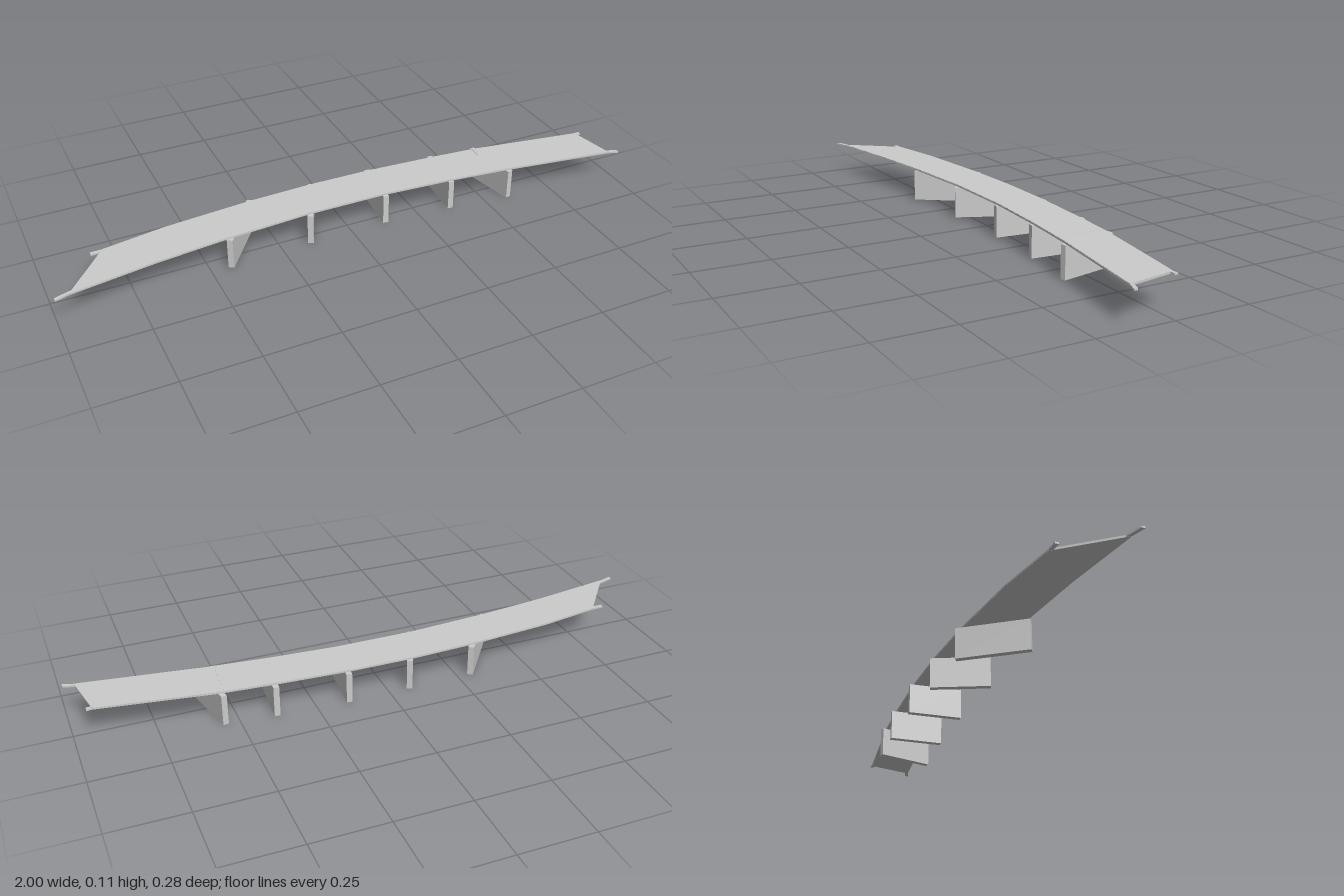
import * as THREE from 'three';

const DECK_BOTTOM = 0.105;
const DECK_TOP = 0.112;

// Deck edges as [x, z], running from the right end to the left end of the bridge
const backEdge = [[-0.81, -0.055], [-0.6, -0.09], [-0.3, -0.117], [-0.08, -0.126],
  [0.14, -0.124], [0.38, -0.11], [0.55, -0.096], [0.935, -0.037]];
const frontEdge = [[-0.955, 0.122], [-0.68, 0.079], [-0.435, 0.051], [-0.15, 0.031],
  [0.125, 0.031], [0.365, 0.047], [0.58, 0.069], [0.965, 0.124]];

const material = new THREE.MeshStandardMaterial({ color: 0xcccccc, flatShading: true });

// Upright slab with a plan outline of [x, z] points
function slab(name, outline, y0, y1) {
  const shape = new THREE.Shape(outline.map(([x, z]) => new THREE.Vector2(x, -z)));
  const geometry = new THREE.ExtrudeGeometry(shape, { depth: y1 - y0, bevelEnabled: false });
  geometry.rotateX(-Math.PI / 2).translate(0, y0, 0);
  const mesh = new THREE.Mesh(geometry, material);
  mesh.name = name;
  return mesh;
}

// Narrow edge beam following a line of [x, z] points
function beam(name, line, halfWidth) {
  const near = line.map(([x, z]) => [x, z + halfWidth]);
  const far = line.map(([x, z]) => [x, z - halfWidth]).reverse();
  return slab(name, [...near, ...far], DECK_BOTTOM + 0.0005, DECK_TOP - 0.001);
}

// Wall pier between its front and back ends
function pier([x0, z0], [x1, z1], thickness) {
  const length = Math.hypot(x1 - x0, z1 - z0);
  const mesh = new THREE.Mesh(new THREE.BoxGeometry(thickness, DECK_BOTTOM, length), material);
  mesh.position.set((x0 + x1) / 2, DECK_BOTTOM / 2, (z0 + z1) / 2);
  mesh.rotation.y = Math.atan2(x0 - x1, z0 - z1);
  mesh.name = 'pier';
  return mesh;
}

export function createModel() {
  const group = new THREE.Group();
  group.name = 'bridge';

  // Curved deck with slanted ends
  group.add(slab('deck', [...frontEdge, ...[...backEdge].reverse()], DECK_BOTTOM, DECK_TOP));

  // Edge beams, projecting beyond both ends of the deck
  const frontLine = frontEdge.map(([x, z]) => [x, z - 0.005]);
  const backLine = backEdge.map(([x, z]) => [x, z + 0.005]);
  group.add(beam('frontEdgeBeam', [[-1, 0.131], ...frontLine, [1, 0.131]], 0.006));
  group.add(beam('backEdgeBeam', [[-0.85, -0.049], ...backLine, [0.953, -0.034]], 0.006));

  // Expansion joint across the deck
  group.add(slab('expansionJoint',
    [[0.529, 0.062], [0.532, 0.062], [0.539, -0.096], [0.536, -0.096]],
    DECK_TOP - 0.002, DECK_TOP + 0.0006));

  // Wall piers, fanned out along the curve
  const piers = [
    [[-0.435, 0.06], [-0.294, -0.132]],
    [[-0.151, 0.043], [-0.07, -0.137]],
    [[0.126, 0.041], [0.142, -0.139]],
    [[0.368, 0.056], [0.382, -0.128]],
    [[0.587, 0.08], [0.546, -0.113]],
  ];
  for (const [front, back] of piers) group.add(pier(front, back, 0.019));

  return group;
}
